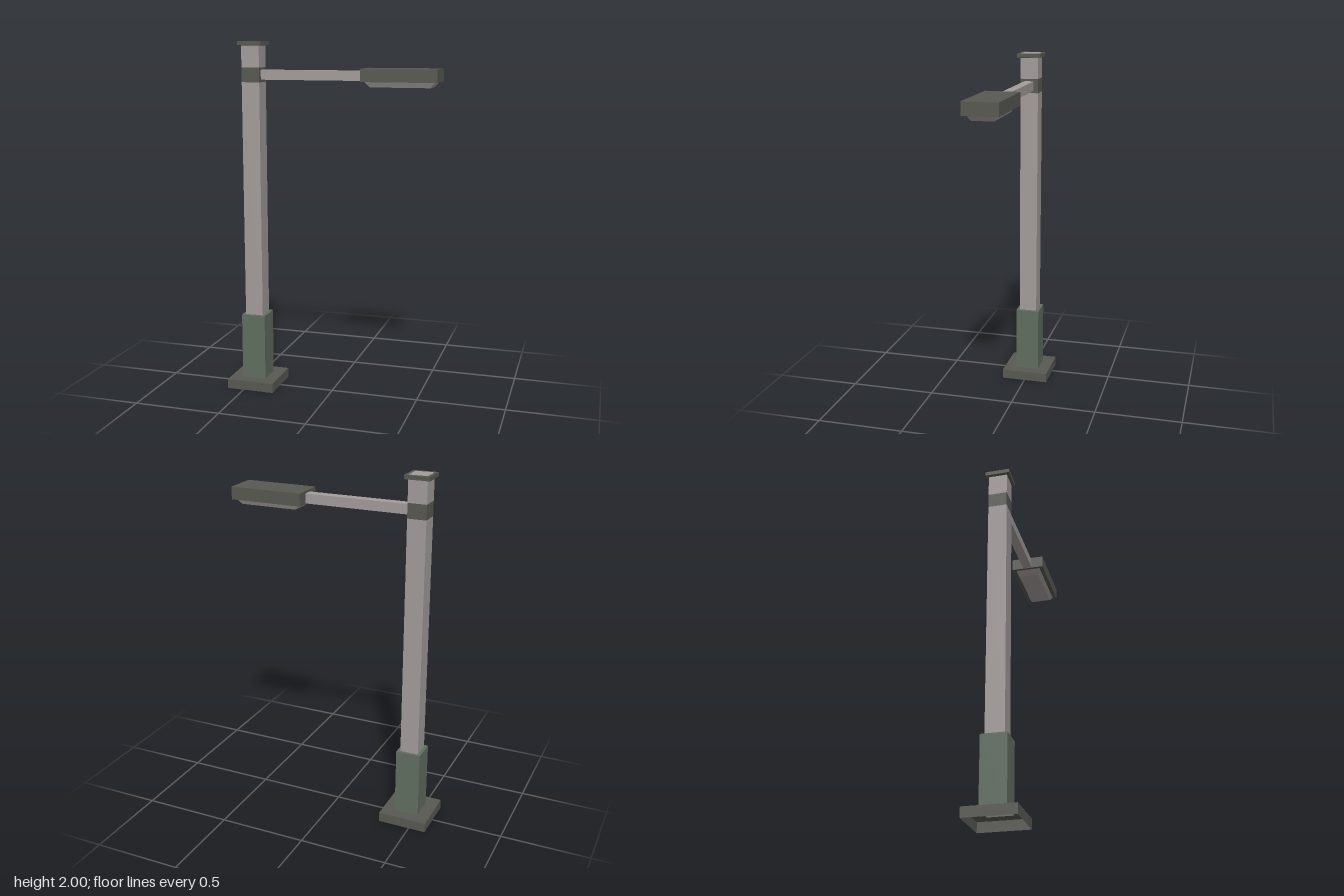
import * as THREE from 'three';

const POST_X = -0.458;

function makeMaterial(name, color) {
  const m = new THREE.MeshStandardMaterial({ color, flatShading: true, side: THREE.DoubleSide });
  m.name = name;
  return m;
}

export function createModel() {
  const concrete = makeMaterial('warm grey', 0xa39d9b);
  const iron = makeMaterial('dark grey', 0x595953);
  const paint = makeMaterial('grey green', 0x616e61);

  const group = new THREE.Group();
  group.name = 'streetLamp';

  const add = (name, geometry, material, x, y, z) => {
    const mesh = new THREE.Mesh(geometry, material);
    mesh.name = name;
    mesh.position.set(x, y, z);
    group.add(mesh);
    return mesh;
  };

  // Square shell around the post axis; profile points are [half width, height]
  const squareShell = (name, profile, material) => {
    const points = profile.map(([half, y]) => new THREE.Vector2(half * Math.SQRT2, y));
    const geometry = new THREE.LatheGeometry(points, 4).rotateY(Math.PI / 4);
    return add(name, geometry, material, POST_X, 0, 0);
  };

  const box = (name, [x0, x1], [y0, y1], width, material) =>
    add(name, new THREE.BoxGeometry(x1 - x0, y1 - y0, width), material, (x0 + x1) / 2, (y0 + y1) / 2, 0);

  // Post: hollow foot, sleeve, shaft with a flush collar, and cap
  squareShell('foot', [[0.139, 0], [0.139, 0.055], [0.07, 0.055]], iron);
  squareShell('sleeve', [[0.07, 0.055], [0.07, 0.435], [0.052, 0.435]], paint);
  squareShell('lowerShaft', [[0.052, 0.435], [0.052, 1.775]], concrete);
  squareShell('collar', [[0.052, 1.775], [0.052, 1.856]], iron);
  squareShell('upperShaft', [[0.052, 1.856], [0.052, 1.975]], concrete);
  squareShell('cap', [[0.052, 1.975], [0.068, 1.978], [0.068, 2], [0.051, 2]], iron);
  squareShell('capTop', [[0.051, 2], [0, 2]], concrete);

  // Arm and lamp head
  box('arm', [POST_X + 0.05, 0.185], [1.789, 1.843], 0.053, concrete);
  box('lampHead', [0.182, 0.597], [1.786, 1.856], 0.19, iron);

  // Lens: a box whose lower face is drawn in to slope the sides
  const lens = new THREE.BoxGeometry(0.385, 0.03, 0.146);
  const p = lens.attributes.position;
  for (let i = 0; i < p.count; i++) {
    if (p.getY(i) < 0) {
      p.setX(i, p.getX(i) * 0.85);
      p.setZ(i, p.getZ(i) * 0.8);
    }
  }
  lens.computeVertexNormals();
  add('lens', lens, concrete, 0.39, 1.772, 0);

  return group;
}
